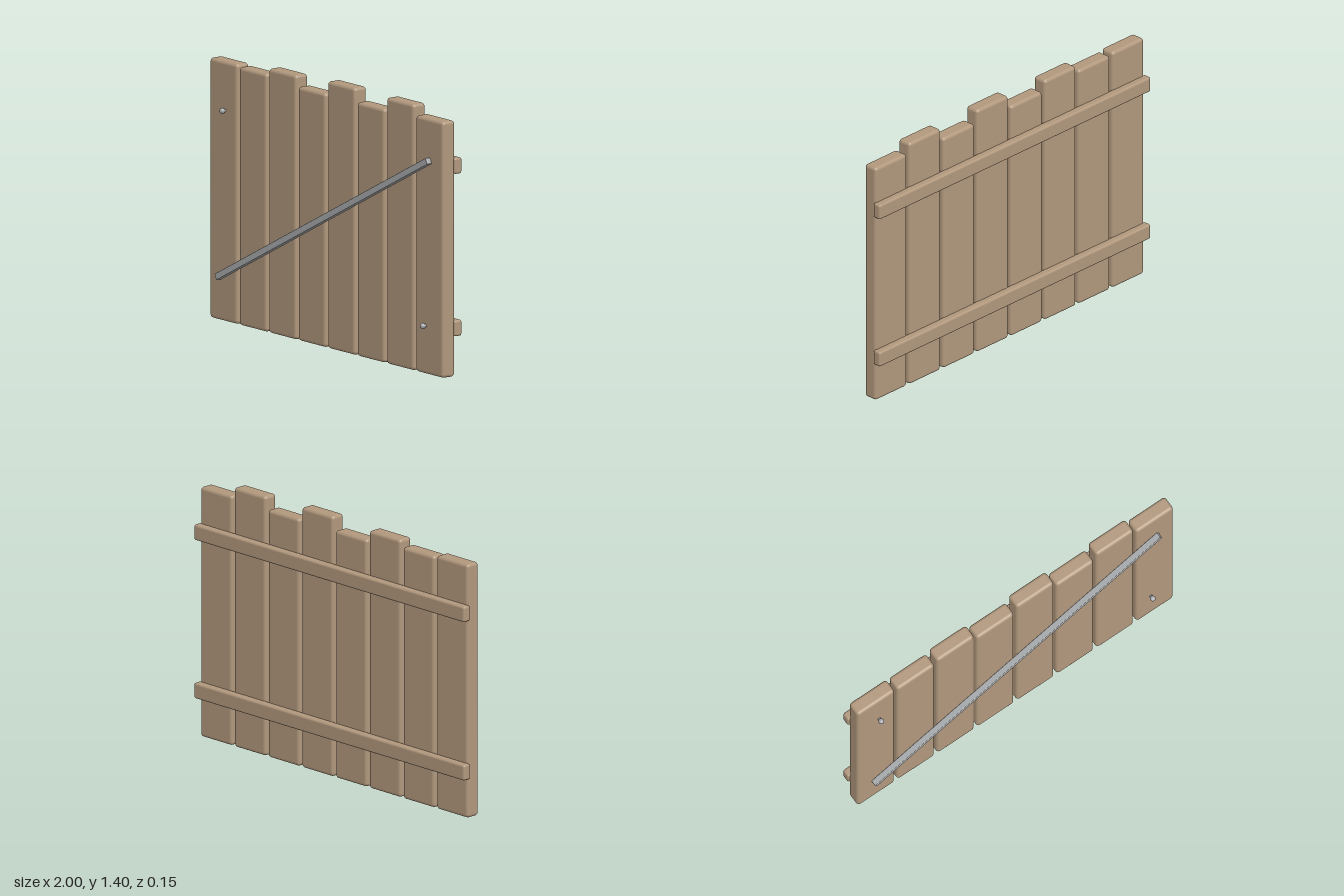
import * as THREE from 'three';
import { RoundedBoxGeometry } from 'three/addons/geometries/RoundedBoxGeometry.js';

const wood = new THREE.MeshStandardMaterial({ name: 'wood', color: 0xb0977c });
const metal = new THREE.MeshStandardMaterial({ name: 'metal', color: 0xa8abad });

function add(parent, name, geometry, material, x, y, z) {
  const mesh = new THREE.Mesh(geometry, material);
  mesh.name = name;
  mesh.position.set(x, y, z);
  parent.add(mesh);
  return mesh;
}

export function createModel() {
  const fence = new THREE.Group();
  fence.name = 'fencePanel';

  // Upright planks of uneven height
  const heights = [1.36, 1.35, 1.383, 1.328, 1.397, 1.328, 1.392, 1.34];
  heights.forEach((h, i) => {
    const geometry = new RoundedBoxGeometry(0.233, h, 0.081, 3, 0.018);
    add(fence, `plank${i + 1}`, geometry, wood, -0.872 + i * 0.2495, h / 2, 0.002);
  });

  // Horizontal rails across the back
  for (const [name, y] of [['lowerRail', 0.253], ['upperRail', 1.102]]) {
    add(fence, name, new RoundedBoxGeometry(2, 0.084, 0.048, 3, 0.012), wood, 0, y, -0.052);
  }

  // Diagonal metal brace on the front
  const brace = add(fence, 'brace', new RoundedBoxGeometry(2, 0.034, 0.032, 2, 0.004), metal, -0.003, 0.677, 0.058);
  brace.rotation.z = Math.atan2(0.895, 1.79);

  // Round-headed nails in the two free corners
  for (const [name, x, y] of [['upperNail', -0.855, 1.104], ['lowerNail', 0.846, 0.254]]) {
    const nail = new THREE.Group();
    nail.name = name;
    nail.position.set(x, y, 0);
    add(nail, 'nailHead', new THREE.SphereGeometry(0.015, 20, 14), metal, 0, 0, 0.061);
    const shank = add(nail, 'nailShank', new THREE.CylinderGeometry(0.008, 0.008, 0.03, 12), metal, 0, 0, 0.045);
    shank.rotation.x = Math.PI / 2;
    fence.add(nail);
  }

  return fence;
}
